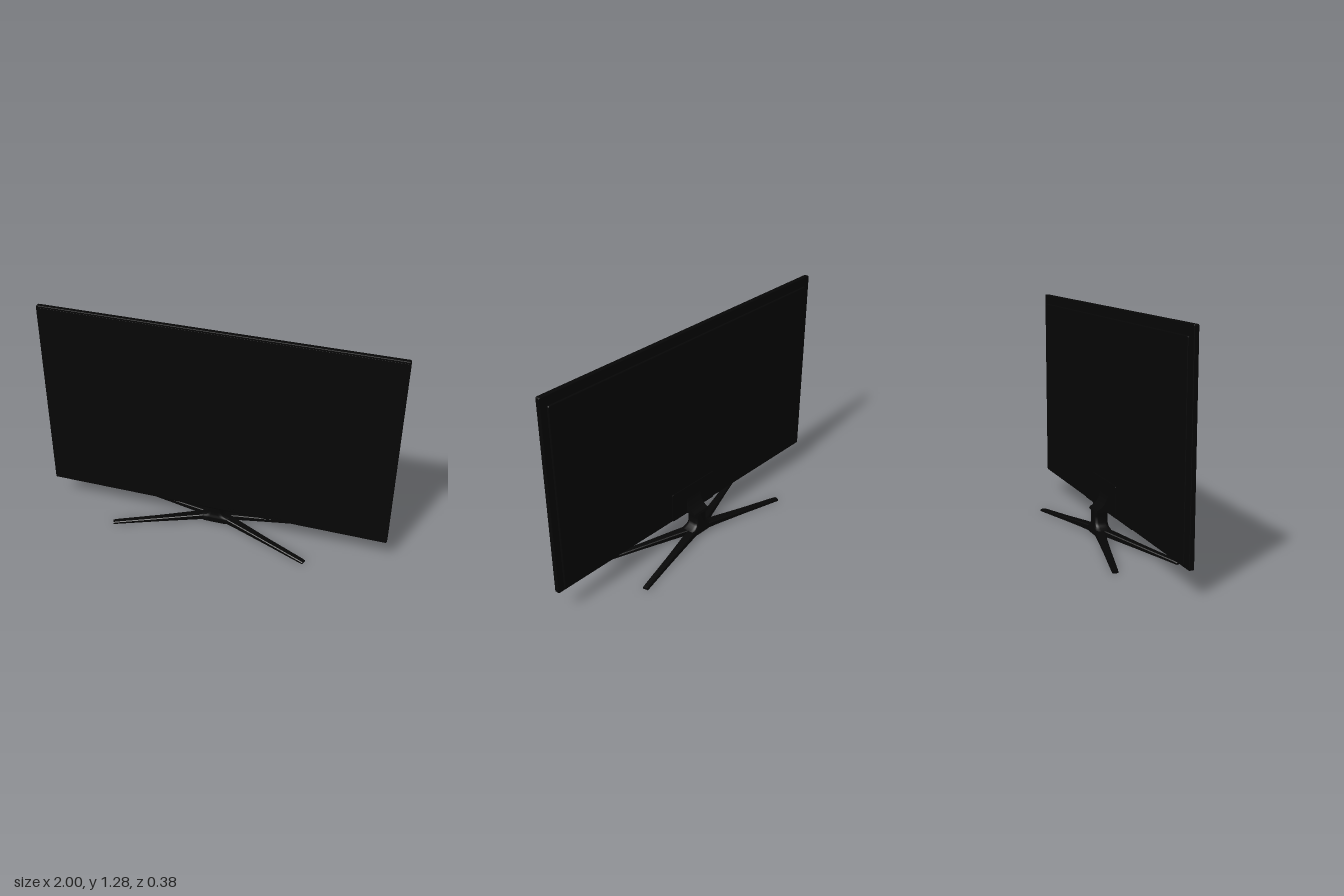
import * as THREE from 'three';
import { toCreasedNormals } from 'three/addons/utils/BufferGeometryUtils.js';

const black = new THREE.MeshStandardMaterial({ name: 'black', color: 0x060606 });

// Slab with rounded corners and a small bevel, between two z values
function slab(x0, x1, y0, y1, z0, z1, r, b) {
  const s = new THREE.Shape();
  const l = x0 + b, q = x1 - b, d = y0 + b, u = y1 - b;
  s.moveTo(l + r, d).lineTo(q - r, d).quadraticCurveTo(q, d, q, d + r);
  s.lineTo(q, u - r).quadraticCurveTo(q, u, q - r, u);
  s.lineTo(l + r, u).quadraticCurveTo(l, u, l, u - r);
  s.lineTo(l, d + r).quadraticCurveTo(l, d, l + r, d);
  const g = new THREE.ExtrudeGeometry(s, {
    depth: z1 - z0 - 2 * b, bevelThickness: b, bevelSize: b, bevelSegments: 2, curveSegments: 4,
  });
  return g.translate(0, 0, z0 + b);
}

// Profile of [z, y] points swept across x, centred
function sweepX(points, halfWidth) {
  const s = new THREE.Shape(points.map(([z, y]) => new THREE.Vector2(-z, y)));
  const g = new THREE.ExtrudeGeometry(s, { depth: 2 * halfWidth, bevelEnabled: false });
  return toCreasedNormals(g.translate(0, 0, -halfWidth).rotateY(Math.PI / 2), 0.6);
}

// Skin over rings with equal point counts, closed at both ends
function loft(rings) {
  const n = rings[0].length, pos = rings.flat(2), idx = [];
  for (let i = 0; i < rings.length - 1; i++) {
    for (let j = 0; j < n; j++) {
      const a = i * n + j, b = i * n + (j + 1) % n;
      idx.push(a, b, a + n, b, b + n, a + n);
    }
  }
  const e = (rings.length - 1) * n;
  for (let j = 1; j < n - 1; j++) idx.push(0, j + 1, j, e, e + j, e + j + 1);
  const g = new THREE.BufferGeometry();
  g.setAttribute('position', new THREE.Float32BufferAttribute(pos, 3));
  g.setIndex(idx);
  return toCreasedNormals(g, 0.6);
}

// Leg running outwards to side sx, tapering from hub to tip
function leg(sx, rootX, rootZ, tipX, tipZ) {
  const len = Math.hypot(tipX - rootX, tipZ - rootZ);
  const nx = -(tipZ - rootZ) / len, nz = (tipX - rootX) / len;
  // Each row: position along the leg, underside, top, half width
  const rows = [[0, 0.021, 0.054, 0.025], [0.12, 0.021, 0.05, 0.024], [0.5, 0.012, 0.033, 0.019],
    [0.97, 0.001, 0.015, 0.016], [1, 0, 0.012, 0.015]];
  const rings = rows.map(([t, low, high, w]) => {
    const x = rootX + (tipX - rootX) * t, z = rootZ + (tipZ - rootZ) * t, c = 0.004;
    const ring = [[-w, low], [-w, high - c], [-w + c, high], [w - c, high], [w, high - c], [w, low]]
      .map(([o, y]) => [sx * (x + nx * o), y, z + nz * o]);
    return sx < 0 ? ring.reverse() : ring;
  });
  return loft(rings);
}

export function createModel() {
  const root = new THREE.Group();
  root.name = 'television';
  const add = (name, geometry, parent = root) => {
    const m = new THREE.Mesh(geometry, black);
    m.name = name;
    parent.add(m);
  };

  // Panel
  add('bezel', slab(-1, 1, 0.139, 1.281, 0.007, 0.033, 0.006, 0.003));
  add('screen', slab(-0.988, 0.988, 0.158, 1.269, 0.032, 0.034, 0.001, 0.0005));
  add('backCover', slab(-0.96, 0.96, 0.15, 1.226, -0.003, 0.012, 0.006, 0.003));
  add('lowerTrim', sweepX([[0.031, 0.143], [0.026, 0.135], [0.014, 0.135], [0.009, 0.143]], 0.94));
  add('chin', sweepX([[0.03, 0.142], [0.023, 0.128], [0.018, 0.128], [0.011, 0.142]], 0.33));

  // Mount on the back, curving out to meet the neck
  add('mountPlate', slab(-0.17, 0.17, 0.146, 0.328, -0.006, 0, 0.01, 0.001));
  const curve = [[0, 0.15], [0, 0.27], [-0.005, 0.255]];
  for (let i = 1; i <= 8; i++) {
    const a = (i / 8) * Math.PI / 2 * 0.85;
    curve.push([-0.005 - 0.08 * (1 - Math.cos(a)), 0.255 - 0.094 * Math.sin(a)]);
  }
  curve.push([-0.073, 0.15]);
  add('mountCover', sweepX(curve, 0.055));

  // Stand
  const stand = new THREE.Group();
  stand.name = 'stand';
  root.add(stand);
  // Neck rows: height, half width, half depth
  const rows = [[0.02, 0.095, 0.046], [0.048, 0.095, 0.046], [0.054, 0.08, 0.045], [0.061, 0.06, 0.043],
    [0.072, 0.046, 0.041], [0.088, 0.038, 0.04], [0.125, 0.038, 0.04], [0.155, 0.044, 0.04]];
  const round = (v) => Math.sign(v) * Math.pow(Math.abs(v), 0.4);
  const neck = rows.map(([y, hx, hz]) => {
    const ring = [];
    for (let i = 0; i < 24; i++) {
      const a = -(i + 0.5) / 24 * Math.PI * 2;
      ring.push([hx * round(Math.cos(a)), y, -0.033 + hz * round(Math.sin(a))]);
    }
    return ring;
  });
  add('neck', loft(neck), stand);
  for (const [sx, side] of [[1, 'left'], [-1, 'right']]) {
    add(side + 'FrontLeg', leg(sx, 0.06, -0.022, 0.573, 0.175), stand);
    add(side + 'RearLeg', leg(sx, 0.06, -0.055, 0.564, -0.177), stand);
  }
  return root;
}
